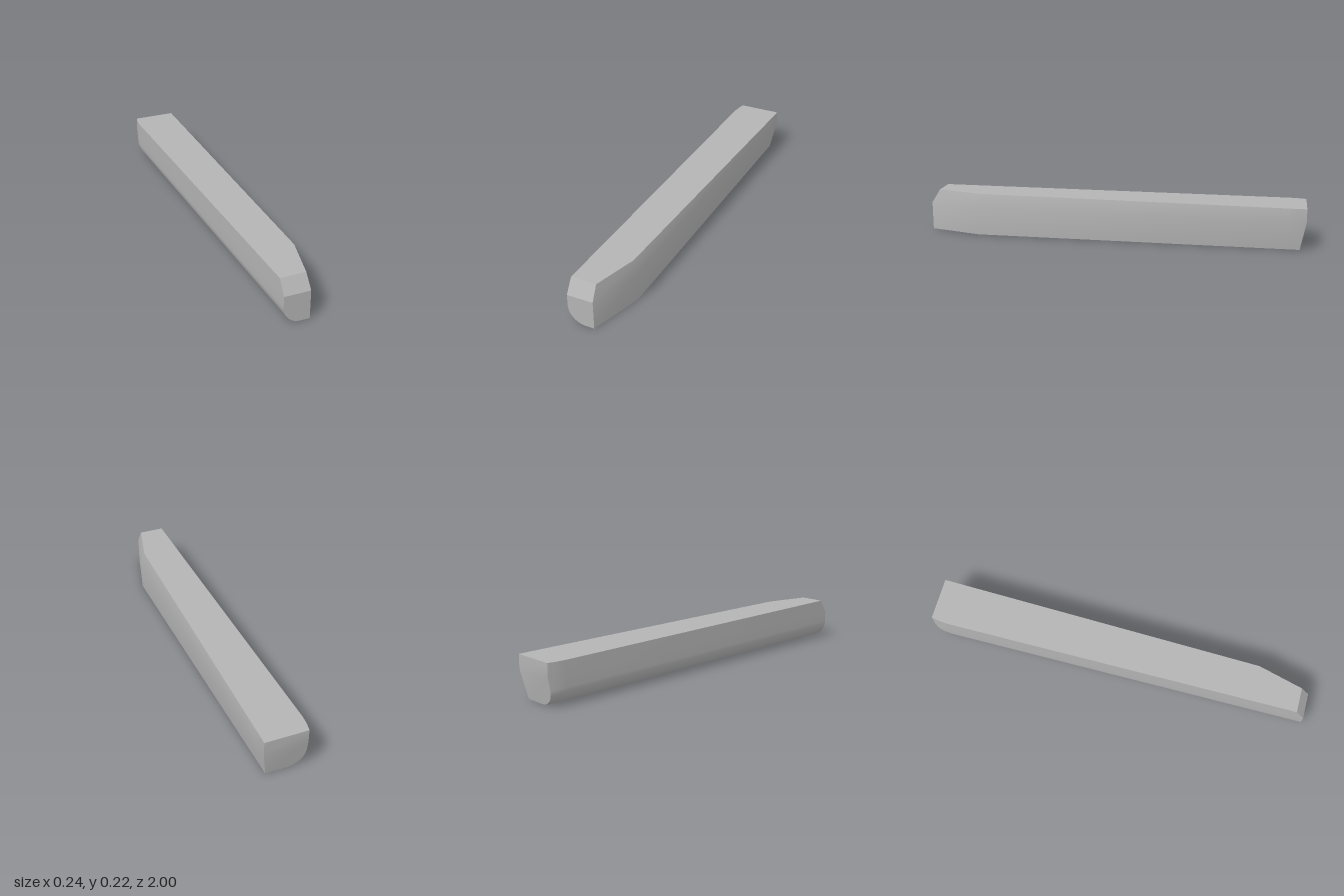
import * as THREE from 'three';
import { toCreasedNormals } from 'three/addons/utils/BufferGeometryUtils.js';

const TOP = 0.22, MID = 0.148, RADIUS = 0.09, ARC = 12;

// Stations from back to front: z, left edge, right edge at bottom / middle / top
const STATIONS = [
  [-1.0, -0.105, 0.092, 0.118, 0.118],
  [-0.96, -0.114, 0.092, 0.1174, 0.117],
  [-0.91, -0.119, 0.092, 0.1166, 0.1157],
  [0.72, -0.119, 0.092, 0.092, 0.074],
  [1.0, -0.119, 0.016, 0.016, 0.012],
];

// Section with a rounded lower left edge, counterclockwise from the top left
function section([z, left, bottomX, midX, topX], k) {
  const pts = [[left, TOP], [left, MID]];
  for (let i = 0; i <= ARC; i++) {
    const a = (i / ARC) * Math.PI / 2;
    pts.push([left + RADIUS * (1 - Math.cos(a)), RADIUS * (1 - Math.sin(a))]);
  }
  pts.push([bottomX, 0], [midX, MID], [topX, TOP]);
  return pts.map(([x, y]) => {
    let pz = z;
    if (k === 0) pz += 0.027 * Math.max(0, 1 - y / MID); // undercut back end
    if (k === STATIONS.length - 1 && y > MID) pz -= 0.045; // bevelled front end
    return [x, y, pz];
  });
}

function beamGeometry() {
  const rings = STATIONS.map(section);
  const n = rings[0].length;
  const pos = [];
  const tri = (a, b, c) => pos.push(...a, ...b, ...c);

  // Long sides, top and bottom
  for (let k = 0; k < rings.length - 1; k++) {
    for (let i = 0; i < n; i++) {
      const j = (i + 1) % n;
      tri(rings[k][i], rings[k][j], rings[k + 1][i]);
      tri(rings[k][j], rings[k + 1][j], rings[k + 1][i]);
    }
  }

  // End caps: an upper band and a lower fan
  const cap = (r, flip) => {
    const face = (a, b, c) => (flip ? tri(r[a], r[c], r[b]) : tri(r[a], r[b], r[c]));
    face(0, 1, n - 2);
    face(0, n - 2, n - 1);
    for (let i = 2; i < n - 2; i++) face(1, i, i + 1);
  };
  cap(rings[0], true);
  cap(rings[rings.length - 1], false);

  const geo = new THREE.BufferGeometry();
  geo.setAttribute('position', new THREE.Float32BufferAttribute(pos, 3));
  return toCreasedNormals(geo, 0.5);
}

export function createModel() {
  const group = new THREE.Group();
  group.name = 'beam';
  const grey = new THREE.MeshStandardMaterial({ color: 0xb4b4b4 });
  grey.name = 'light grey';
  const body = new THREE.Mesh(beamGeometry(), grey);
  body.name = 'beamBody';
  group.add(body);
  return group;
}
